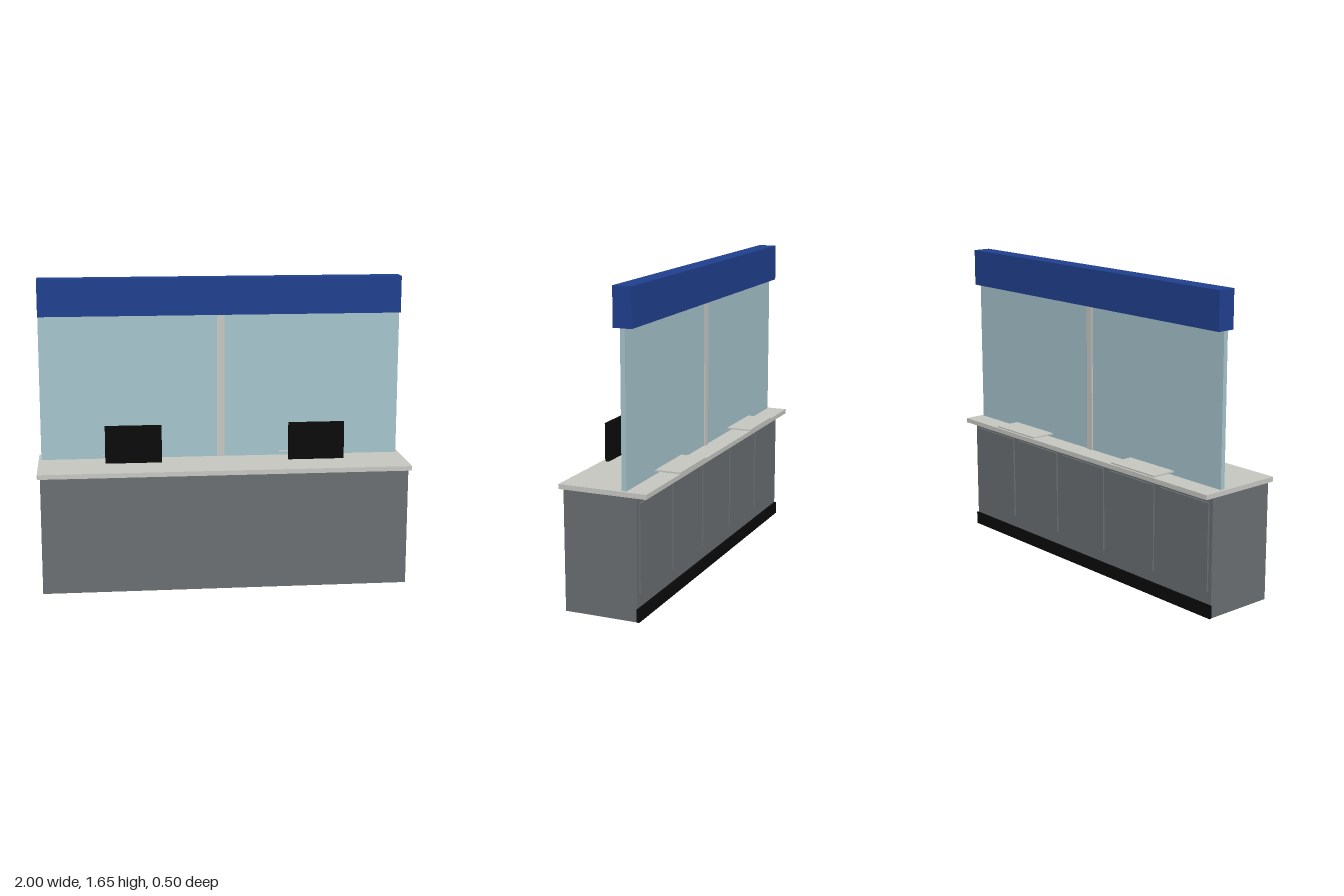
import * as THREE from 'three';

const mat = (name, color) => {
  const m = new THREE.MeshStandardMaterial({ color });
  m.name = name;
  return m;
};

export function createModel() {
  const grey = mat('cabinet grey', 0x6a6f73);
  const stone = mat('pale countertop', 0xc8c8c3);
  const glass = mat('pale glass', 0xa6c5cd);
  const blue = mat('sign blue', 0x20408f);
  const black = mat('black', 0x0a0a0a);

  const group = new THREE.Group();
  group.name = 'serviceCounter';

  // Box given by its [min, max] extent on each axis
  const box = (name, material, [x0, x1], [y0, y1], [z0, z1]) => {
    const mesh = new THREE.Mesh(new THREE.BoxGeometry(x1 - x0, y1 - y0, z1 - z0), material);
    mesh.position.set((x0 + x1) / 2, (y0 + y1) / 2, (z0 + z1) / 2);
    mesh.name = name;
    group.add(mesh);
  };
  const half = 0.985;

  // Counter
  box('cabinet', grey, [-half, half], [0, 0.635], [-0.165, 0.23]);
  box('countertop', stone, [-1, 1], [0.635, 0.66], [-0.225, 0.25]);
  box('kickPlate', black, [-half - 0.002, half + 0.002], [0, 0.07], [-0.176, -0.162]);

  // Five cupboard doors on the back
  const pitch = (2 * half) / 5;
  for (let i = 0; i < 5; i++) {
    const x = (i - 2) * pitch;
    box('cupboardDoor', grey, [x - 0.174, x + 0.174], [0.138, 0.6], [-0.174, -0.165]);
  }

  // Screen, centre post and sign box
  box('glassScreen', glass, [-half, half], [0.66, 1.45], [-0.1125, -0.0875]);
  box('centrePost', stone, [-0.02, 0.02], [0.66, 1.45], [-0.12, -0.08]);
  box('signBox', blue, [-half, half], [1.45, 1.65], [-0.15, -0.05]);

  // Two stations, each with a monitor and a pass-through tray
  for (const x of [-0.49, 0.49]) {
    box('monitor', black, [x - 0.15, x + 0.15], [0.695, 0.895], [0.153, 0.174]);
    box('passTray', stone, [x - 0.164, x + 0.164], [0.676, 0.684], [-0.25, -0.082]);
  }

  return group;
}
